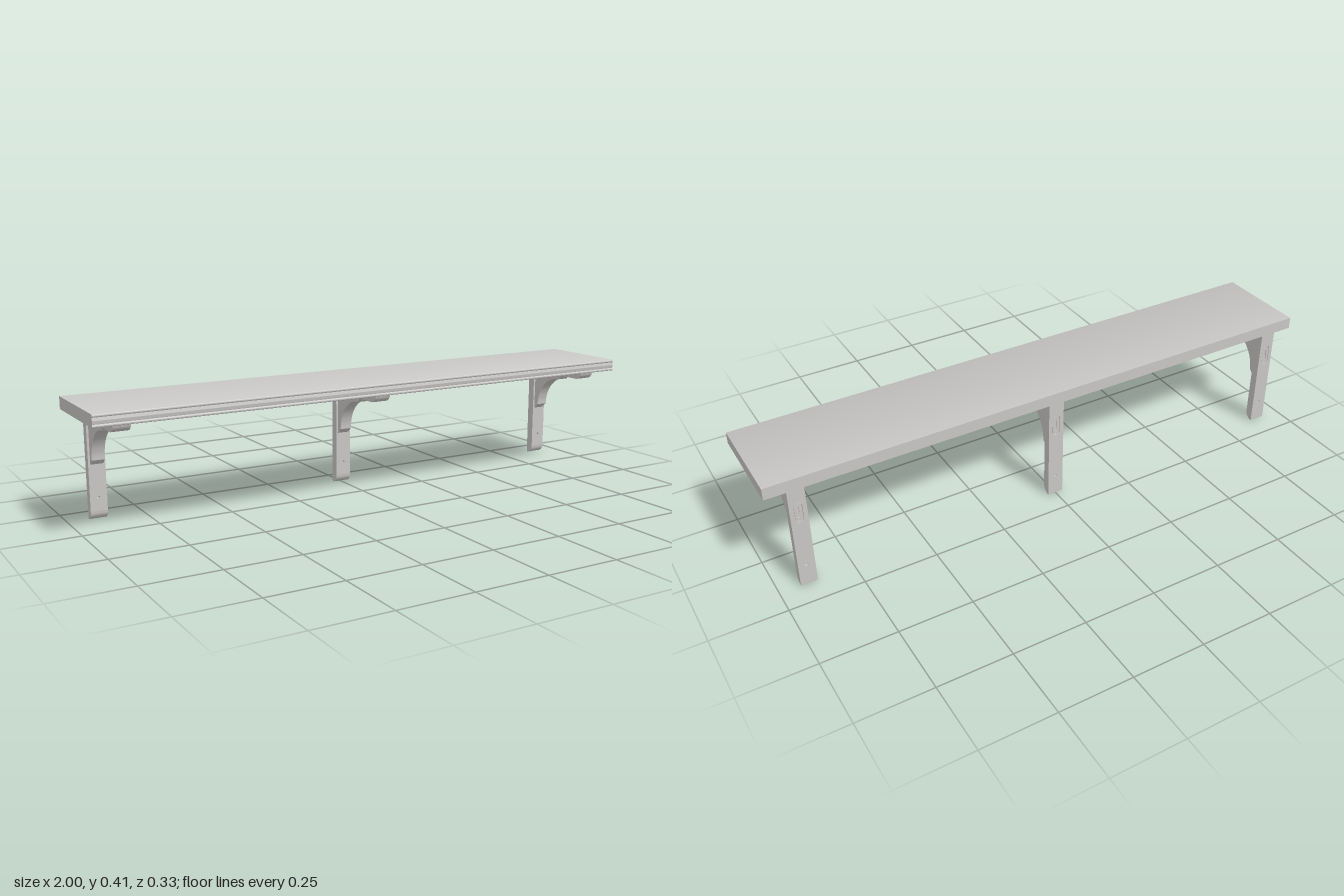
import * as THREE from 'three';
import { toCreasedNormals } from 'three/addons/utils/BufferGeometryUtils.js';

const BACK = -0.166, LEG_FRONT = -0.137, ARM_BOTTOM = 0.338, BOARD_BOTTOM = 0.368;
const WIDTH = 0.056;

const wood = new THREE.MeshStandardMaterial({ color: 0xc8c6c4 });
wood.name = 'light grey';

function part(name, geometry) {
  const mesh = new THREE.Mesh(toCreasedNormals(geometry, 0.5), wood);
  mesh.name = name;
  return mesh;
}

// Profile drawn in (z, y), extruded along x and centred
function extrudeX(shape, width) {
  const g = new THREE.ExtrudeGeometry(shape, { depth: width, bevelEnabled: false, curveSegments: 12 });
  return g.translate(0, 0, -width / 2).rotateY(-Math.PI / 2);
}

// Shape drawn in (x, y), extruded along z from z0 to z1
function extrudeZ(shape, z0, z1) {
  const g = new THREE.ExtrudeGeometry(shape, { depth: z1 - z0, bevelEnabled: false, curveSegments: 12 });
  return g.translate(0, 0, z0);
}

function rect(x0, y0, x1, y1) {
  return new THREE.Shape().moveTo(x0, y0).lineTo(x1, y0).lineTo(x1, y1).lineTo(x0, y1).closePath();
}

function circle(y, r) {
  return new THREE.Path().absarc(0, y, r, 0, Math.PI * 2, true);
}

// Upright slot with round ends
function slot(Type, y0, y1, r) {
  const s = new Type();
  s.absarc(0, y1 - r, r, 0, Math.PI, false);
  s.absarc(0, y0 + r, r, Math.PI, Math.PI * 2, false);
  s.closePath();
  return s;
}

// Shelf board with a beaded front edge
function boardShape() {
  const s = new THREE.Shape();
  s.moveTo(BACK, BOARD_BOTTOM).lineTo(0.163, BOARD_BOTTOM);
  s.quadraticCurveTo(0.168, 0.369, 0.167, 0.374);
  s.lineTo(0.164, 0.378);
  s.quadraticCurveTo(0.169, 0.388, 0.164, 0.399);
  s.lineTo(0.167, 0.403);
  s.quadraticCurveTo(0.168, 0.408, 0.163, 0.409);
  s.lineTo(BACK, 0.409).closePath();
  return s;
}

// Block with a rounded lower front corner
function roundedBlock(front, bottom, top, r) {
  return new THREE.Shape()
    .moveTo(BACK, bottom).lineTo(front - r, bottom)
    .absarc(front - r, bottom + r, r, -Math.PI / 2, 0, false)
    .lineTo(front, top).lineTo(BACK, top).closePath();
}

// Curved brace between leg and arm
function braceShape() {
  return new THREE.Shape()
    .moveTo(LEG_FRONT, ARM_BOTTOM).lineTo(LEG_FRONT, 0.185).lineTo(-0.118, 0.203)
    .absarc(0, 0.202, 0.118, Math.PI, Math.PI / 2, true)
    .lineTo(0.017, ARM_BOTTOM).closePath();
}

function createBracket() {
  const g = new THREE.Group();
  const w = WIDTH / 2, pocketZ = BACK + 0.008, footTop = 0.03;
  g.add(part('arm', extrudeX(roundedBlock(0.133, ARM_BOTTOM, BOARD_BOTTOM, 0.029), WIDTH)));
  g.add(part('brace', extrudeX(braceShape(), 0.042)));
  g.add(part('foot', extrudeX(roundedBlock(LEG_FRONT, 0, footTop, 0.0289), WIDTH)));

  // Leg in two layers: screw hole through both, hanger pocket in the back one
  const front = rect(-w, footTop, w, ARM_BOTTOM);
  front.holes.push(circle(0.075, 0.005));
  const back = rect(-w, footTop, w, ARM_BOTTOM);
  back.holes.push(circle(0.075, 0.005), slot(THREE.Path, 0.245, 0.32, 0.014));
  g.add(part('legFront', extrudeZ(front, pocketZ, LEG_FRONT)));
  g.add(part('legBack', extrudeZ(back, BACK, pocketZ)));

  // Keyhole hanger plate set into the pocket
  const plate = slot(THREE.Shape, 0.247, 0.318, 0.0125);
  const key = new THREE.Path();
  key.moveTo(-0.003, 0.274).lineTo(-0.003, 0.3);
  key.absarc(0, 0.3, 0.003, Math.PI, 0, true);
  key.lineTo(0.003, 0.274);
  key.absarc(0, 0.268, 0.0067, 1.1, Math.PI - 1.1 - Math.PI * 2, true);
  key.closePath();
  plate.holes.push(key, circle(0.253, 0.0025), circle(0.311, 0.0025));
  g.add(part('hangerPlate', extrudeZ(plate, BACK + 0.001, BACK + 0.004)));
  return g;
}

export function createModel() {
  const model = new THREE.Group();
  model.name = 'wallShelf';
  model.add(part('shelfBoard', extrudeX(boardShape(), 2)));
  ['rightBracket', 'middleBracket', 'leftBracket'].forEach((name, i) => {
    const bracket = createBracket();
    bracket.name = name;
    bracket.position.x = (i - 1) * 0.902;
    model.add(bracket);
  });
  return model;
}
